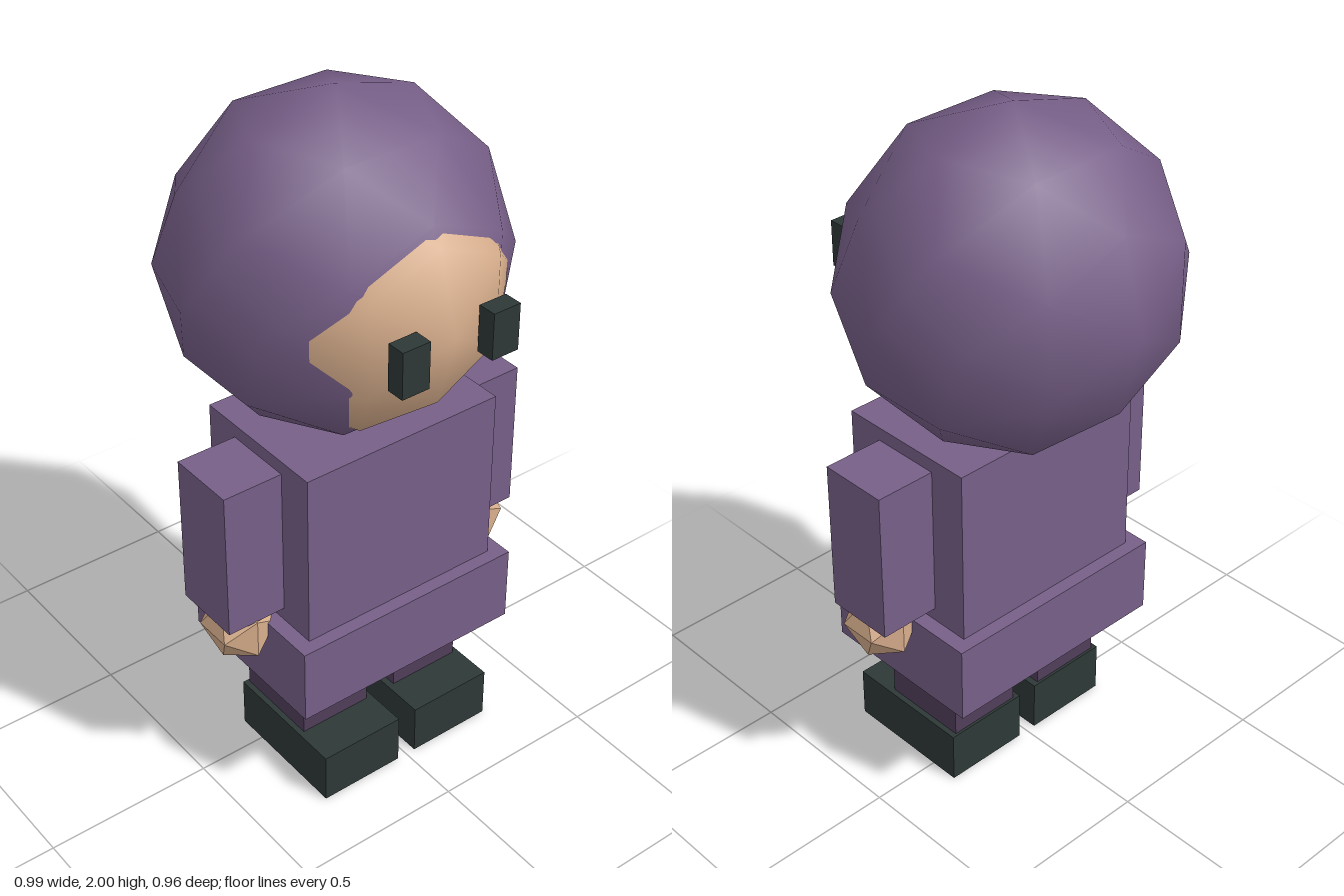
import * as THREE from 'three';

const mat = (name, color, flatShading = false) => {
  const m = new THREE.MeshStandardMaterial({ color, flatShading });
  m.name = name;
  return m;
};

export function createModel() {
  const group = new THREE.Group();
  const purple = mat('purple cloth', 0x775f88);
  const plum = mat('dark plum trousers', 0x503e59);
  const skin = mat('skin', 0xd9af8d);
  const dark = mat('charcoal', 0x2d3836);

  const add = (name, geometry, material) => {
    const mesh = new THREE.Mesh(geometry, material);
    mesh.name = name;
    group.add(mesh);
    return mesh;
  };

  // Box given by its lower and upper limits on each axis
  const box = (name, [x0, x1], [y0, y1], [z0, z1], material) => {
    const mesh = add(name, new THREE.BoxGeometry(x1 - x0, y1 - y0, z1 - z0), material);
    mesh.position.set((x0 + x1) / 2, (y0 + y1) / 2, (z0 + z1) / 2);
  };

  // Icosahedron ball stretched to three radii
  const ball = (name, detail, radii, center, material) => {
    const geometry = new THREE.IcosahedronGeometry(1, detail);
    geometry.scale(...radii);
    add(name, geometry, material).position.set(...center);
  };

  // Head: smooth hood with the face pushing through its front
  ball('hood', 1, [0.478, 0.475, 0.455], [0, 1.525, -0.025], purple);
  ball('face', 1, [0.41, 0.415, 0.43], [0, 1.505, 0.03], skin);

  // Coat
  box('torso', [-0.315, 0.315], [0.575, 1.105], [-0.165, 0.27], purple);
  box('coatHem', [-0.36, 0.36], [0.345, 0.575], [-0.205, 0.31], purple);

  // Mirrored parts
  for (const [side, s] of [['left', 1], ['right', -1]]) {
    const span = (a, b) => (s > 0 ? [a, b] : [-b, -a]);
    box(side + 'Eye', span(0.1, 0.185), [1.415, 1.55], [0.425, 0.48], dark);
    box(side + 'Arm', span(0.315, 0.495), [0.615, 1.065], [-0.05, 0.158], purple);
    ball(side + 'Hand', 0, [0.1, 0.11, 0.11], [0.407 * s, 0.557, 0.07], skin);
    box(side + 'Leg', span(0.05, 0.275), [0.155, 0.345], [-0.08, 0.185], plum);
    box(side + 'Shoe', span(0.03, 0.292), [0, 0.155], [-0.088, 0.31], dark);
  }
  return group;
}
